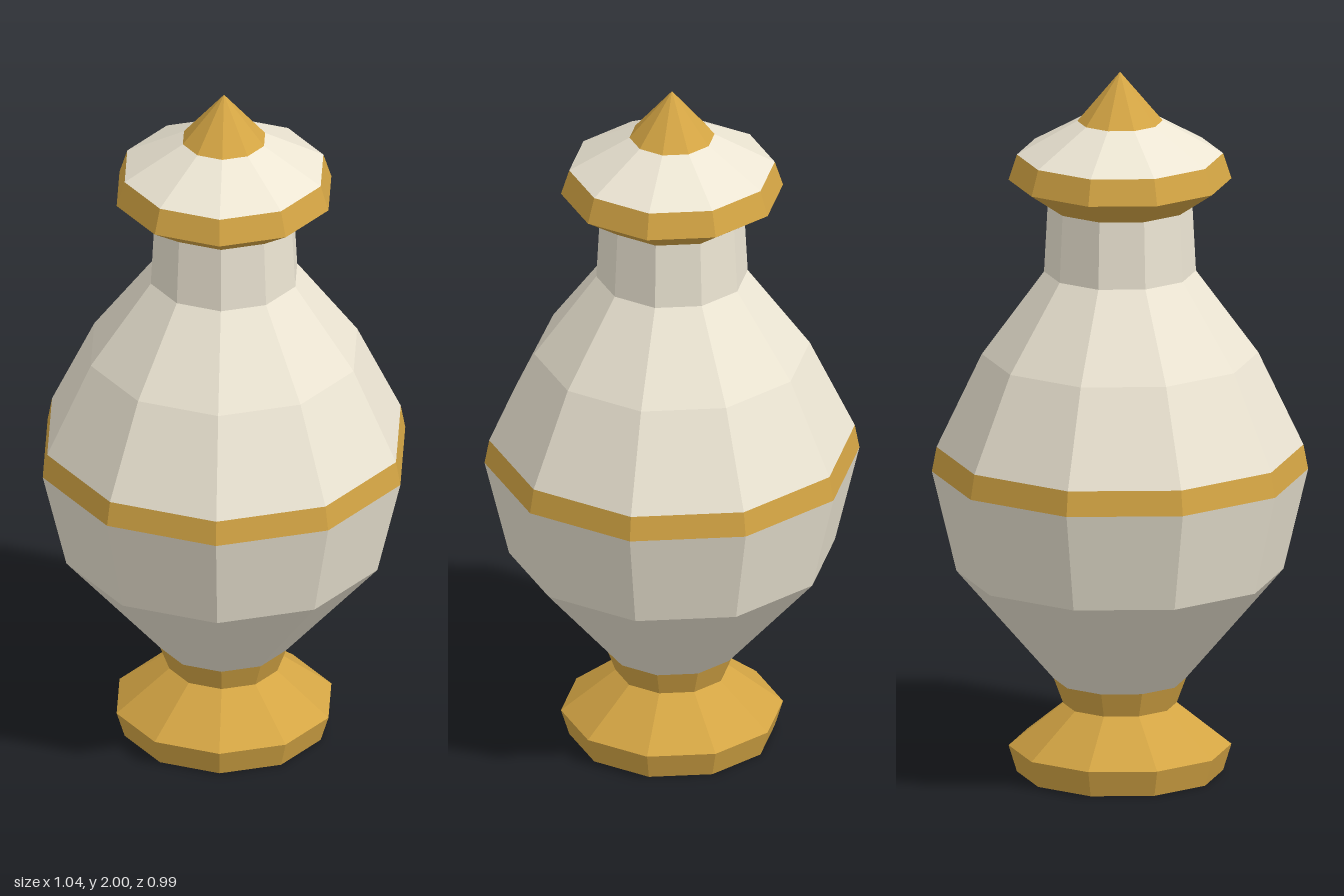
import * as THREE from 'three';

const SIDES = 10;
const gold = new THREE.MeshStandardMaterial({ color: 0xd4a544, flatShading: true });
const cream = new THREE.MeshStandardMaterial({ color: 0xece5d3, flatShading: true });

// One faceted ring of the vase: [radius, height] pairs, bottom to top, corners on the x axis
function turned(name, material, profile) {
  const points = profile.map(([r, y]) => new THREE.Vector2(r, y));
  const mesh = new THREE.Mesh(new THREE.LatheGeometry(points, SIDES, Math.PI / 2), material);
  mesh.name = name;
  return mesh;
}

export function createModel() {
  const vase = new THREE.Group();
  vase.name = 'liddedVase';

  // Closed foot with its narrow collar
  vase.add(turned('foot', gold, [[0, 0], [0.285, 0], [0.308, 0.075], [0.157, 0.195], [0.183, 0.265]]));

  // Body below and above the gold belt
  vase.add(turned('lowerBody', cream, [[0.183, 0.265], [0.452, 0.575], [0.52, 0.86]]));
  vase.add(turned('belt', gold, [[0.52, 0.86], [0.507, 0.93]]));
  vase.add(turned('upperBody', cream, [[0.507, 0.93], [0.382, 1.195], [0.21, 1.43]]));
  vase.add(turned('neck', cream, [[0.21, 1.43], [0.2, 1.62]]));

  // Lid: flared rim, sloping top and pointed knob
  const lid = new THREE.Group();
  lid.name = 'lid';
  lid.add(turned('lidRim', gold, [[0, 1.62], [0.2, 1.62], [0.308, 1.693], [0.285, 1.765]]));
  lid.add(turned('lidTop', cream, [[0.285, 1.765], [0.118, 1.86]]));
  lid.add(turned('knob', gold, [[0.118, 1.86], [0, 2]]));
  vase.add(lid);

  return vase;
}
